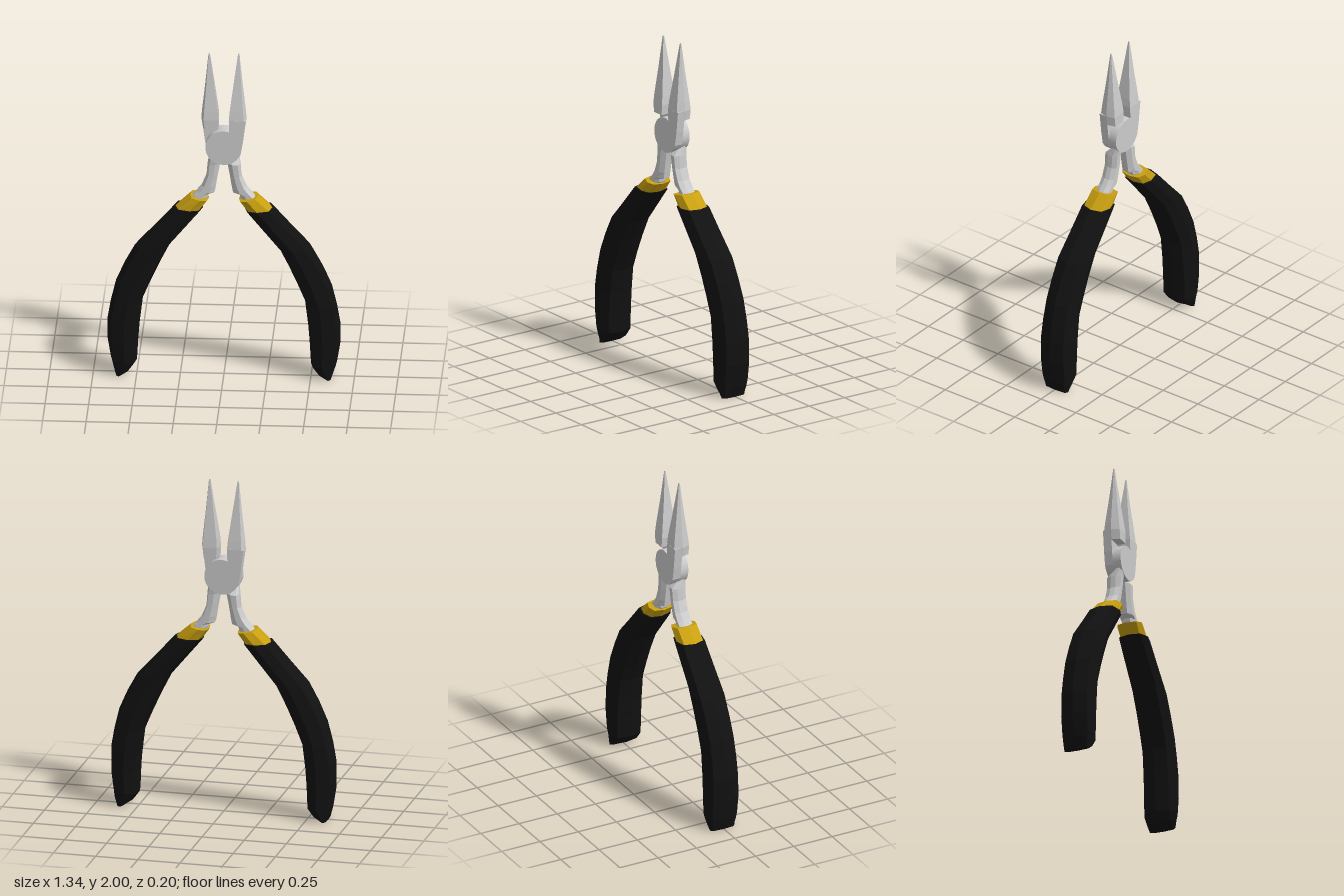
import * as THREE from 'three';

const material = (color) => new THREE.MeshStandardMaterial({ color, flatShading: true });

// Cross-section outlines (u across x, v across z), counter-clockwise from above
const OCTAGON = [[1, 0], [0.8, -0.76], [0.1, -1], [-0.75, -0.8], [-1, 0], [-0.75, 0.8], [0.1, 1], [0.8, 0.76]];
const JAW = [[1, 0], [0.7, -1], [-1, -1], [-1, 1], [0.7, 1]];
const TANG = [[1, -0.5], [0.25, -1], [-0.65, -1], [-1, -0.35], [-1, 0.35], [-0.65, 1], [0.25, 1], [1, 0.5]];

// Skin sections [x0, y0, x1, y1, halfDepth, zCentre], listed bottom to top
function loft(name, profile, sections, mat) {
  const n = profile.length;
  const pos = [];
  const index = [];
  for (const [x0, y0, x1, y1, hz, zc = 0] of sections) {
    for (const [u, v] of profile) {
      const t = (u + 1) / 2;
      pos.push(x0 + (x1 - x0) * t, y0 + (y1 - y0) * t, zc + v * hz);
    }
  }
  const last = (sections.length - 1) * n;
  for (let s = 0; s < last; s += n) {
    for (let j = 0; j < n; j++) {
      const a = s + j, b = s + (j + 1) % n;
      index.push(a, b, b + n, a, b + n, a + n);
    }
  }
  for (let j = 1; j < n - 1; j++) {
    index.push(0, j + 1, j, last, last + j, last + j + 1);
  }
  const geo = new THREE.BufferGeometry();
  geo.setAttribute('position', new THREE.Float32BufferAttribute(pos, 3));
  geo.setIndex(index);
  const flat = geo.toNonIndexed();
  flat.computeVertexNormals();
  const mesh = new THREE.Mesh(flat, mat);
  mesh.name = name;
  return mesh;
}

function createHalf(steel, gold, rubber) {
  const half = new THREE.Group();

  // Pivot disc with the cheek that carries the jaw
  const outline = new THREE.Shape();
  outline.moveTo(0.03, 1.6);
  outline.lineTo(0.128, 1.6);
  outline.lineTo(0.112, 1.47);
  outline.lineTo(0.098, 1.39);
  outline.absarc(0, 1.43, 0.104, -0.5, 1.25 - Math.PI * 2, true);
  outline.closePath();
  const plate = new THREE.Mesh(
    new THREE.ExtrudeGeometry(outline, { depth: 0.05, bevelEnabled: false, curveSegments: 24 }), steel);
  plate.name = 'pivotPlate';
  half.add(plate);

  // Long tapering jaw with a flat inner face
  half.add(loft('jaw', JAW, [
    [0.035, 1.54, 0.121, 1.54, 0.049],
    [0.03, 1.6, 0.13, 1.6, 0.049],
    [0.034, 1.65, 0.126, 1.65, 0.044],
    [0.055, 1.81, 0.108, 1.81, 0.024],
    [0.081, 2, 0.089, 2, 0.003],
  ], steel));

  // Curved neck running from the pivot into the handle
  half.add(loft('neck', TANG, [
    [-0.23, 1.04, -0.14, 1.04, 0.04],
    [-0.185, 1.11, -0.095, 1.11, 0.042],
    [-0.172, 1.125, -0.092, 1.13, 0.042],
    [-0.155, 1.145, -0.053, 1.143, 0.042],
    [-0.127, 1.18, -0.046, 1.18, 0.042],
    [-0.1, 1.245, -0.035, 1.25, 0.042],
    [-0.094, 1.32, -0.021, 1.325, 0.044],
    [-0.085, 1.37, -0.01, 1.36, 0.024, 0.025],
    [-0.07, 1.42, 0.0, 1.41, 0.024, 0.025],
  ], steel));

  // Collar at the top of the grip
  half.add(loft('collar', OCTAGON, [
    [-0.28, 1.045, -0.127, 1.04, 0.077],
    [-0.196, 1.12, -0.085, 1.1, 0.077],
  ], gold));

  // Bowed rubber grip
  half.add(loft('grip', OCTAGON, [
    [-0.62, 0.005, -0.585, 0.005, 0.08],
    [-0.642, 0.07, -0.54, 0.03, 0.092],
    [-0.65, 0.1, -0.5, 0.083, 0.1],
    [-0.668, 0.21, -0.492, 0.22, 0.101],
    [-0.668, 0.345, -0.484, 0.32, 0.1],
    [-0.65, 0.45, -0.466, 0.47, 0.098],
    [-0.62, 0.575, -0.42, 0.58, 0.097],
    [-0.57, 0.69, -0.37, 0.69, 0.096],
    [-0.51, 0.8, -0.31, 0.81, 0.096],
    [-0.4, 0.92, -0.215, 0.925, 0.092],
    [-0.287, 1.047, -0.12, 1.04, 0.088],
  ], rubber));
  return half;
}

export function createModel() {
  const steel = material(0xcccccc);
  const gold = material(0xc9a010);
  const rubber = material(0x111111);

  // Two identical halves, one turned half a revolution about the vertical axis
  const pliers = new THREE.Group();
  pliers.name = 'pliers';
  ['frontHalf', 'backHalf'].forEach((name, i) => {
    const half = createHalf(steel, gold, rubber);
    half.name = name;
    half.rotation.y = i * Math.PI;
    pliers.add(half);
  });
  return pliers;
}
